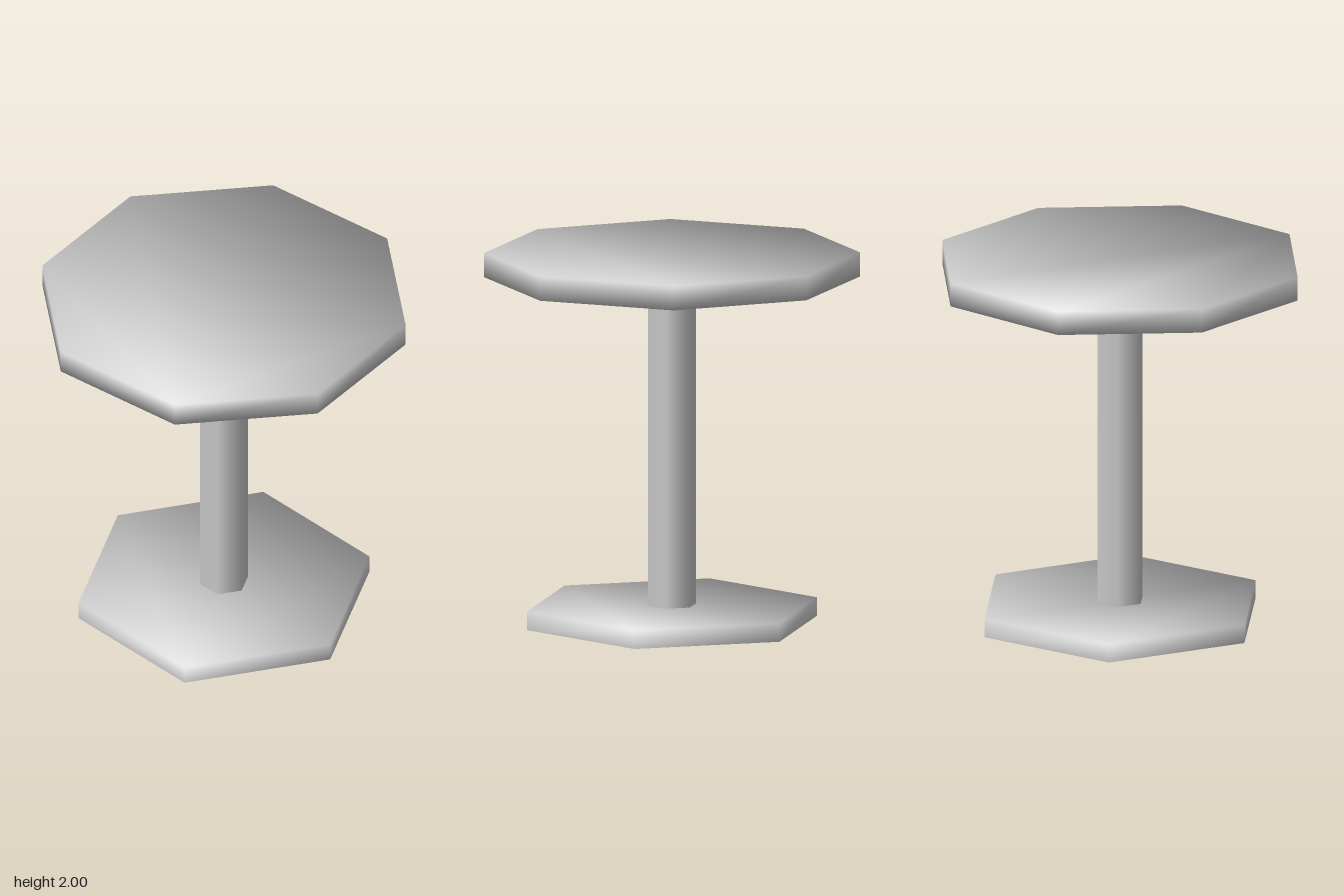
import * as THREE from 'three';

const material = new THREE.MeshStandardMaterial({ color: 0xcccccc, side: THREE.DoubleSide });

// Low-poly prism with corners on the z axis; either end may be capped or open.
// Normals are shared by wall and cap, so they tilt towards a capped end.
function smoothPrism(name, radius, sides, bottom, top, capBottom, capTop) {
  const positions = [], normals = [], indices = [];
  for (let i = 0; i < sides; i++) {
    const angle = (i / sides) * Math.PI * 2;
    const x = Math.sin(angle), z = Math.cos(angle);
    positions.push(x * radius, bottom, z * radius, x * radius, top, z * radius);
    normals.push(x, capBottom ? -0.8 : 0, z, x, capTop ? 0.8 : 0, z);

    // Wall panel, then one triangle of each cap's fan.
    const b0 = 2 * i, b1 = 2 * ((i + 1) % sides);
    indices.push(b0, b1, b1 + 1, b0, b1 + 1, b0 + 1);
    if (i > 0 && i < sides - 1) {
      if (capTop) indices.push(1, b0 + 1, b1 + 1);
      if (capBottom) indices.push(0, b1, b0);
    }
  }
  const geometry = new THREE.BufferGeometry();
  geometry.setAttribute('position', new THREE.Float32BufferAttribute(positions, 3));
  geometry.setAttribute('normal', new THREE.Float32BufferAttribute(normals, 3));
  geometry.setIndex(indices);
  geometry.normalizeNormals();
  const mesh = new THREE.Mesh(geometry, material);
  mesh.name = name;
  return mesh;
}

export function createModel() {
  const table = new THREE.Group();
  table.name = 'pedestalTable';
  table.add(
    smoothPrism('tabletop', 1, 8, 1.87, 2, true, true),
    // Open tube between the top and the base
    smoothPrism('post', 0.133, 6, 0.1, 1.87, false, false),
    // Hollow foot, open underneath
    smoothPrism('base', 0.8, 6, 0, 0.1, false, true),
  );
  return table;
}
